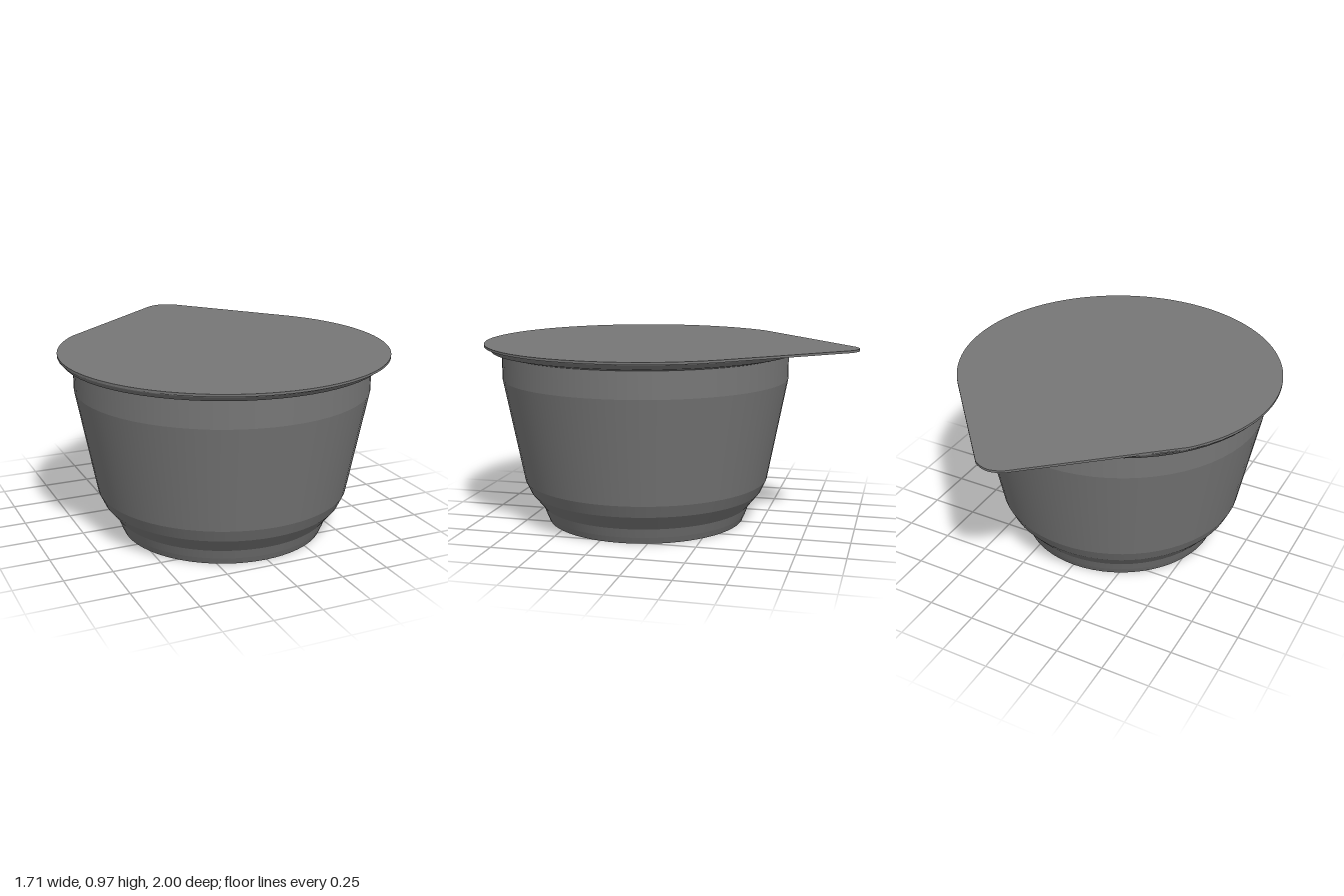
import * as THREE from 'three';

export function createModel() {
  const model = new THREE.Group();
  const grey = new THREE.MeshStandardMaterial({ color: 0x767676 });
  grey.name = 'grey plastic';

  // Each band is its own lathe: smooth around, crisp between bands
  const lathe = (name, profile) => {
    const group = new THREE.Group();
    group.name = name;
    for (let i = 0; i < profile.length - 1; i++) {
      const pts = [profile[i], profile[i + 1]].map(([r, y]) => new THREE.Vector2(r, y));
      const band = new THREE.Mesh(new THREE.LatheGeometry(pts, 64), grey);
      band.name = `${name}Band${i + 1}`;
      group.add(band);
    }
    group.position.set(-0.01, 0, 0.145);
    model.add(group);
  };

  // Cup: flat base, stepped foot, tapered wall, straight collar
  lathe('cup', [[0, 0], [0.535, 0], [0.55, 0.035], [0.568, 0.085], [0.633, 0.165],
    [0.663, 0.23], [0.768, 0.78], [0.768, 0.92]]);

  // Flared rim beneath the lid
  lathe('rim', [[0.768, 0.918], [0.822, 0.932], [0.843, 0.955], [0.846, 0.962]]);

  // Foil lid: round, with a pointed pull tab at the back
  const outline = new THREE.Shape();
  const a = 0.707;
  outline.absarc(0, -0.145, 0.855, a, Math.PI - a, true);
  outline.lineTo(0, 0.97);
  outline.quadraticCurveTo(0.04, 0.998, 0.08, 1);
  outline.quadraticCurveTo(0.125, 0.998, 0.165, 0.97);
  outline.closePath();
  const lidGeometry = new THREE.ExtrudeGeometry(outline,
    { depth: 0.012, bevelEnabled: false, curveSegments: 64 });
  lidGeometry.rotateX(-Math.PI / 2);
  const lid = new THREE.Mesh(lidGeometry, grey);
  lid.name = 'lid';
  lid.position.y = 0.96;
  model.add(lid);

  return model;
}
